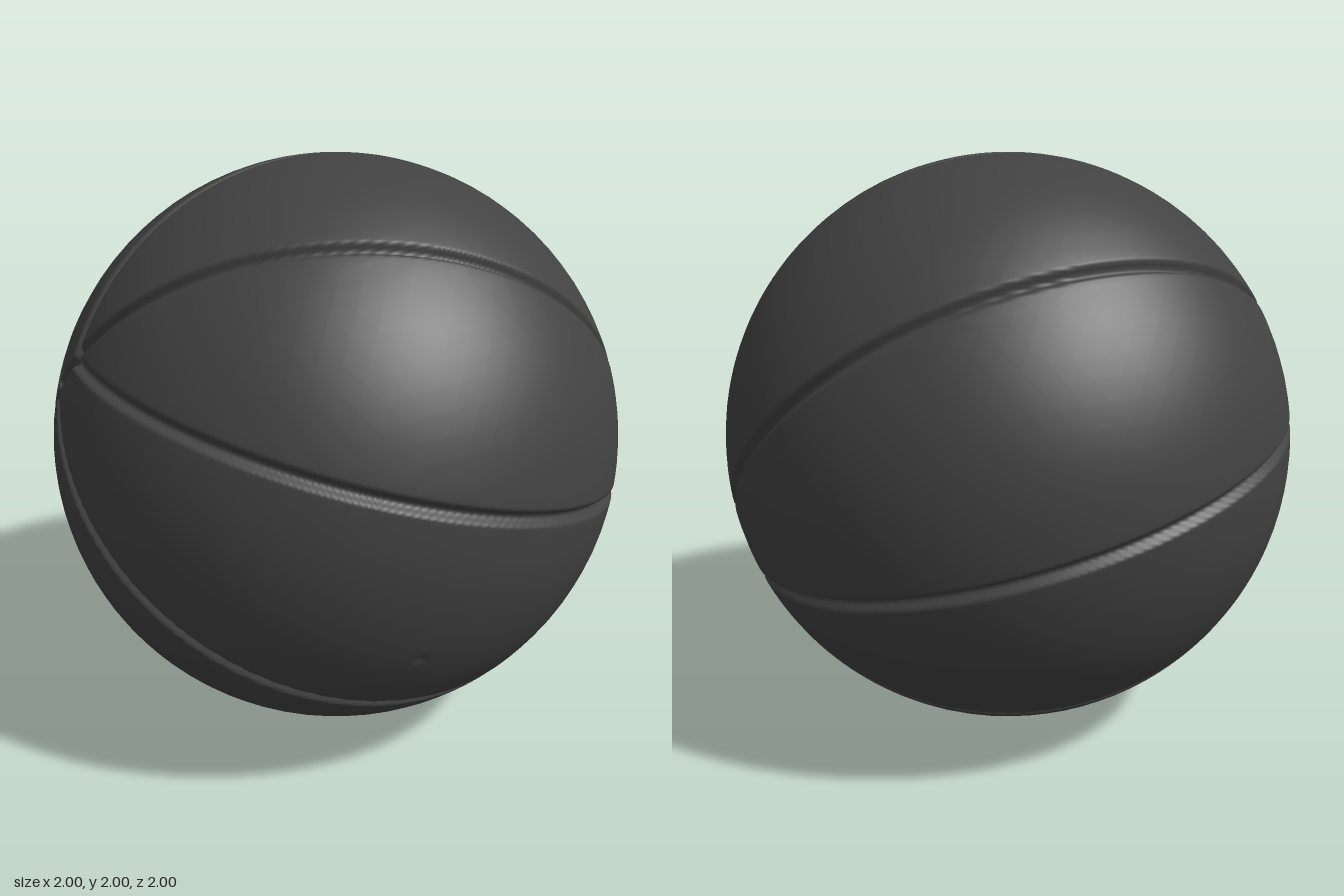
import * as THREE from 'three';
import { mergeVertices } from 'three/addons/utils/BufferGeometryUtils.js';

// Tilted frame of the seams: p points at the front hub, the main seam lies in p-q, the cross seam in p-n
const E = new THREE.Vector3(0.742, -0.671, 0).normalize();
const N = new THREE.Vector3(0.671, 0.742, 0).normalize();
const Q = E.clone().multiplyScalar(0.918).add(new THREE.Vector3(0, 0, 0.396)).normalize();
const VALVE = new THREE.Vector3(0.867, -0.39, 0.31).normalize();
const GROOVE_DEPTH = 0.024;

// Distance from a point on the unit sphere to the nearest seam
function seamDistance(v) {
  const n = Math.abs(v.dot(N));
  const q = Math.abs(v.dot(Q));
  const curved = Math.abs(0.789 * n - 0.615 * q - 0.146); // four mirrored curved seams
  return Math.min(n, q, curved);
}

// Radius of the ball with rounded seam channels and the small valve dimple
function radius(v) {
  const seam = 1 - THREE.MathUtils.smoothstep(seamDistance(v), 0.005, 0.025);
  const valve = 1 - THREE.MathUtils.smoothstep(v.distanceTo(VALVE), 0.005, 0.026);
  return 1 - GROOVE_DEPTH * seam - 0.005 * valve;
}

// Sphere whose triangles are split finer along the seams, edge by edge so no cracks appear
function ballGeometry() {
  const base = new THREE.IcosahedronGeometry(1, 15);
  base.deleteAttribute('normal');
  base.deleteAttribute('uv');
  const start = mergeVertices(base, 1e-4);
  const pos = start.attributes.position;
  const points = [];
  for (let i = 0; i < pos.count; i++) points.push(new THREE.Vector3().fromBufferAttribute(pos, i).normalize());

  let faces = [];
  for (let i = 0; i < start.index.count; i += 3) {
    faces.push([0, 1, 2].map((k) => start.index.getX(i + k)));
  }

  for (let pass = 0; pass < 4; pass++) {
    const cache = new Map();
    // Index of the new middle point of an edge, or -1 where the edge stays whole
    const middle = (a, b) => {
      const key = a < b ? `${a},${b}` : `${b},${a}`;
      if (cache.has(key)) return cache.get(key);
      const length = points[a].distanceTo(points[b]);
      const m = points[a].clone().add(points[b]).normalize();
      const near = Math.min(seamDistance(m), m.distanceTo(VALVE));
      let index = -1;
      if (length > 0.011 && near < 0.03 + length * 0.6) index = points.push(m) - 1;
      cache.set(key, index);
      return index;
    };
    const next = [];
    for (const f of faces) {
      const mids = f.map((a, k) => middle(a, f[(k + 1) % 3]));
      const splits = mids.filter((m) => m >= 0).length;
      // Rotate so that one split edge comes first, or the one whole edge comes last
      let s = 0;
      if (splits === 1) s = mids.findIndex((m) => m >= 0);
      if (splits === 2) s = (mids.findIndex((m) => m < 0) + 1) % 3;
      const [a, b, c] = [0, 1, 2].map((k) => f[(s + k) % 3]);
      const [ab, bc, ca] = [0, 1, 2].map((k) => mids[(s + k) % 3]);
      if (splits === 0) next.push(f);
      else if (splits === 1) next.push([a, ab, c], [ab, b, c]);
      else if (splits === 2) next.push([ab, b, bc], [a, ab, bc], [a, bc, c]);
      else next.push([a, ab, ca], [ab, b, bc], [ca, bc, c], [ab, bc, ca]);
    }
    faces = next;
  }

  for (const v of points) v.multiplyScalar(radius(v));
  const geometry = new THREE.BufferGeometry().setFromPoints(points);
  geometry.setIndex(faces.flat());
  geometry.computeVertexNormals();
  return geometry;
}

export function createModel() {
  const group = new THREE.Group();
  group.name = 'ball';
  const rubber = new THREE.MeshStandardMaterial({ color: 0x424242 });
  rubber.name = 'dark grey rubber';

  // Ball skin with sunken seams
  const skin = new THREE.Mesh(ballGeometry(), rubber);
  skin.name = 'seamedSkin';
  skin.position.y = 1;
  group.add(skin);
  return group;
}
